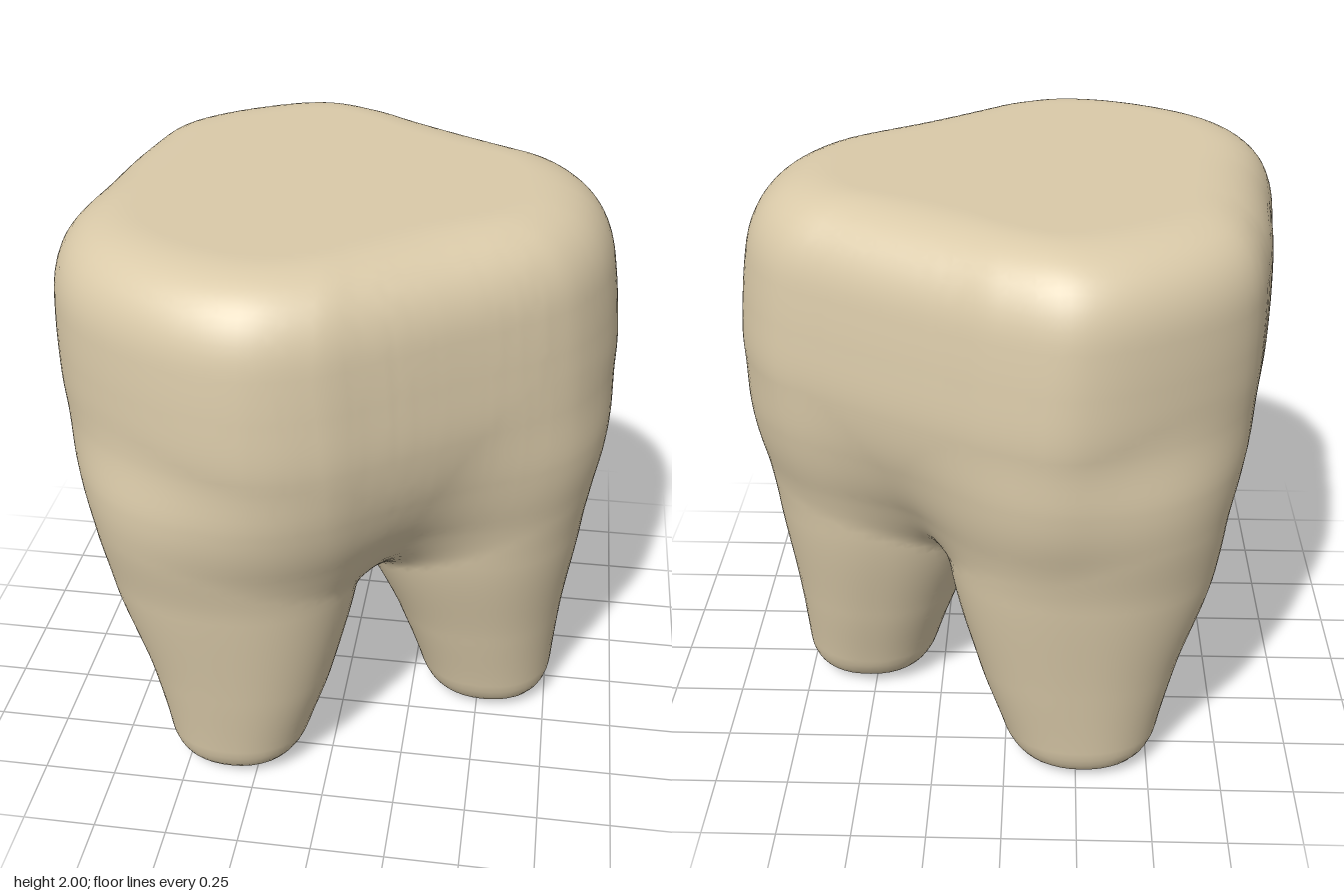
import * as THREE from 'three';

// Smooth union / intersection of two distance values
const smin = (a, b, k) => {
  const h = Math.max(k - Math.abs(a - b), 0) / k;
  return Math.min(a, b) - h * h * k / 4;
};
const smax = (a, b, k) => -smin(-a, -b, k);

// Smooth lookup in evenly spaced keys
function lookup(keys, t) {
  const n = keys.length - 1;
  t = Math.min(Math.max(t, 0), n - 1e-6);
  const i = Math.floor(t), f = t - i;
  const p1 = keys[i], p2 = keys[i + 1];
  const p0 = keys[Math.max(i - 1, 0)], p3 = keys[Math.min(i + 2, n)];
  return p1 + 0.5 * f * (p2 - p0 + f * (2 * p0 - 5 * p1 + 4 * p2 - p3 + f * (3 * (p1 - p2) + p3 - p0)));
}

// Crown outline seen from above (x, z), stored as radius per degree
const OUTLINE = [
  [0.9, -0.08], [0.875, 0.12], [0.79, 0.3], [0.7, 0.4], [0.42, 0.61], [0.17, 0.79], [0.03, 0.88], [-0.2, 0.94],
  [-0.5, 0.86], [-0.78, 0.65], [-0.9, 0.38], [-0.875, 0], [-0.825, -0.35], [-0.74, -0.62],
  [-0.5, -0.83], [-0.2, -0.945], [0.03, -0.88], [0.2, -0.78], [0.6, -0.535], [0.77, -0.415], [0.87, -0.25],
];
const DEG = 180 / Math.PI;
const radii = new Array(361).fill(0.9);
new THREE.CatmullRomCurve3(OUTLINE.map(([x, z]) => new THREE.Vector3(x, 0, z)), true)
  .getPoints(4000)
  .forEach((p) => { radii[Math.round(Math.atan2(p.z, p.x) * DEG + 360) % 360] = Math.hypot(p.x, p.z); });
radii[360] = radii[0];

// Crown width factor and sideways lean every 0.2 from y = 0.4 up
const CROWN = [-0.6, -0.06, 0.56, 0.82, 0.945, 0.993, 0.992, 0.972, 0.94, 0.9];
const LEAN = [0, 0, 0, 0, 0, 0, -0.01, -0.022, -0.035, -0.05];

function crown(x, y, z) {
  const t = (y - 0.4) / 0.2;
  const cx = x - lookup(LEAN, t);
  const a = (Math.atan2(z, cx) * DEG + 360) % 360;
  const side = Math.hypot(cx, z) - lookup(radii, a) * lookup(CROWN, t);
  return smax(side, y - 2, 0.25);
}

// Roots: centre and radii every 0.4 from y = 0 up
const ROOTS = [
  { cx: [0.53, 0.48, 0.42, 0.41, 0.3], cz: [0.01, 0, 0, 0, 0],
    rx: [0.23, 0.305, 0.415, 0.45, 0.35], rz: [0.23, 0.325, 0.425, 0.45, 0.35] },
  { cx: [-0.34, -0.315, -0.33, -0.34, -0.3], cz: [0.49, 0.49, 0.46, 0.42, 0.3],
    rx: [0.23, 0.32, 0.425, 0.46, 0.35], rz: [0.23, 0.285, 0.375, 0.46, 0.35] },
  { cx: [-0.27, -0.25, -0.26, -0.27, -0.25], cz: [-0.49, -0.49, -0.46, -0.42, -0.3],
    rx: [0.25, 0.345, 0.45, 0.46, 0.35], rz: [0.24, 0.285, 0.375, 0.46, 0.35] },
];

function root(r, x, y, z) {
  const t = y / 0.4, power = 2.25;
  const rx = lookup(r.rx, t), rz = lookup(r.rz, t);
  const u = Math.abs(x - lookup(r.cx, t)) / rx, v = Math.abs(z - lookup(r.cz, t)) / rz;
  const side = ((u ** power + v ** power) ** (1 / power) - 1) * Math.min(rx, rz);
  return smax(smax(side, -y, 0.14), y - 1.5, 0.2);
}

// Whole body: crown blended into its three roots
function body(x, y, z) {
  const legs = ROOTS.map((r) => root(r, x, y, z)).reduce((a, b) => smin(a, b, 0.07));
  return smin(crown(x, y, z), legs, 0.16);
}

function gradient(f, [x, y, z]) {
  const e = 0.006;
  return [
    (f(x + e, y, z) - f(x - e, y, z)) / (2 * e),
    (f(x, y + e, z) - f(x, y - e, z)) / (2 * e),
    (f(x, y, z + e) - f(x, y, z - e)) / (2 * e),
  ];
}

// Skins a field with a grid of quads: one vertex per crossed cell
function skin(f, min, size, step) {
  const n = size.map((s) => Math.ceil(s / step) + 1);
  const stride = [1, n[0], n[0] * n[1]];
  const at = (i, j, k) => i + j * stride[1] + k * stride[2];
  const each = (start, end, fn) => {
    for (let k = start; k < n[2] - end; k++)
      for (let j = start; j < n[1] - end; j++)
        for (let i = start; i < n[0] - end; i++) fn(i, j, k);
  };
  const val = new Float32Array(n[0] * n[1] * n[2]);
  each(0, 0, (i, j, k) => {
    val[at(i, j, k)] = f(min[0] + i * step, min[1] + j * step, min[2] + k * step);
  });

  const ids = new Int32Array(val.length).fill(-1);
  const position = [], normal = [], index = [];
  each(0, 1, (i, j, k) => {
    const c = at(i, j, k), sum = [0, 0, 0];
    let count = 0;
    for (let q = 0; q < 8; q++)
      for (let a = 0; a < 3; a++) {
        if (q & (1 << a)) continue;
        const bits = [q & 1, (q >> 1) & 1, q >> 2];
        const p = c + bits[0] + bits[1] * stride[1] + bits[2] * stride[2];
        const v0 = val[p], v1 = val[p + stride[a]];
        if ((v0 < 0) === (v1 < 0)) continue;
        bits[a] += v0 / (v0 - v1);
        bits.forEach((b, m) => { sum[m] += b; });
        count++;
      }
    if (!count) return;
    const p = [i, j, k].map((g, m) => min[m] + (g + sum[m] / count) * step);
    // Settle the vertex onto the surface
    for (let s = 0; s < 2; s++) {
      const g = gradient(f, p);
      const d = f(...p) / Math.max(g[0] ** 2 + g[1] ** 2 + g[2] ** 2, 0.3);
      const move = Math.max(-step / 3, Math.min(step / 3, d));
      g.forEach((v, m) => { p[m] -= v * move; });
    }
    ids[c] = position.length / 3;
    position.push(...p);
    normal.push(...new THREE.Vector3(...gradient(f, p)).normalize().toArray());
  });
  each(1, 1, (i, j, k) => {
    const c = at(i, j, k);
    for (let a = 0; a < 3; a++) {
      const inside = val[c] < 0;
      if (inside === (val[c + stride[a]] < 0)) continue;
      const u = stride[(a + 1) % 3], v = stride[(a + 2) % 3];
      const quad = [ids[c], ids[c - u], ids[c - u - v], ids[c - v]];
      if (!inside) quad.reverse();
      index.push(quad[0], quad[1], quad[2], quad[0], quad[2], quad[3]);
    }
  });

  const geometry = new THREE.BufferGeometry();
  geometry.setAttribute('position', new THREE.Float32BufferAttribute(position, 3));
  geometry.setAttribute('normal', new THREE.Float32BufferAttribute(normal, 3));
  geometry.setIndex(index);
  return geometry;
}

export function createModel() {
  const group = new THREE.Group();
  group.name = 'molarTooth';
  const material = new THREE.MeshStandardMaterial({ color: 0xdacaa9 });
  const tooth = new THREE.Mesh(skin(body, [-1.03, -0.08, -1.06], [2.06, 2.18, 2.12], 0.034), material);
  tooth.name = 'crownAndRoots';
  group.add(tooth);
  return group;
}
